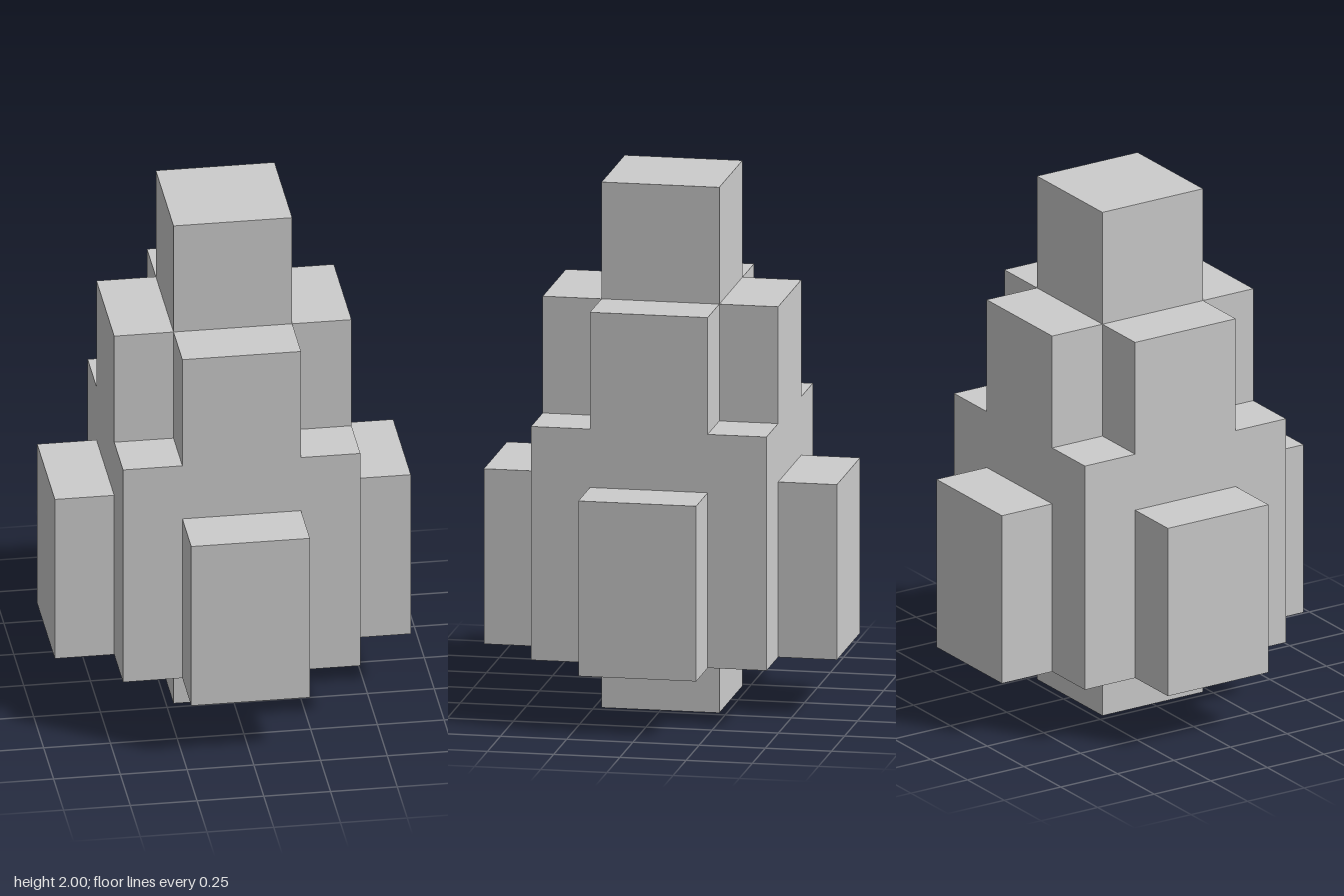
import * as THREE from 'three';

const U = 2 / 9; // grid step shared by every block
const material = new THREE.MeshStandardMaterial({ color: 0xcccccc, flatShading: true });

// Box given by width, depth and bottom/top heights, all in grid steps
function block(name, width, depth, bottom, top, z = 0) {
  const geometry = new THREE.BoxGeometry(width * U, (top - bottom) * U, depth * U);
  geometry.translate(0, ((bottom + top) / 2) * U, z * U);
  const mesh = new THREE.Mesh(geometry, material);
  mesh.name = name;
  return mesh;
}

export function createModel() {
  const model = new THREE.Group();
  model.name = 'steppedTower';

  // Central stack: foot, wide body, spire
  model.add(block('foot', 2, 2, 0, 1));
  model.add(block('body', 4, 4, 1, 5));
  model.add(block('spire', 2, 2, 5, 9));

  // One lower and one upper buttress on each of the four sides
  ['front', 'left', 'back', 'right'].forEach((side, i) => {
    const buttresses = new THREE.Group();
    buttresses.name = side + 'Buttresses';
    buttresses.add(block('lowerButtress', 2, 1, 1, 4, 2.5));
    buttresses.add(block('upperButtress', 2, 1, 5, 7, 1.5));
    buttresses.rotation.y = (i * Math.PI) / 2;
    model.add(buttresses);
  });

  return model;
}
